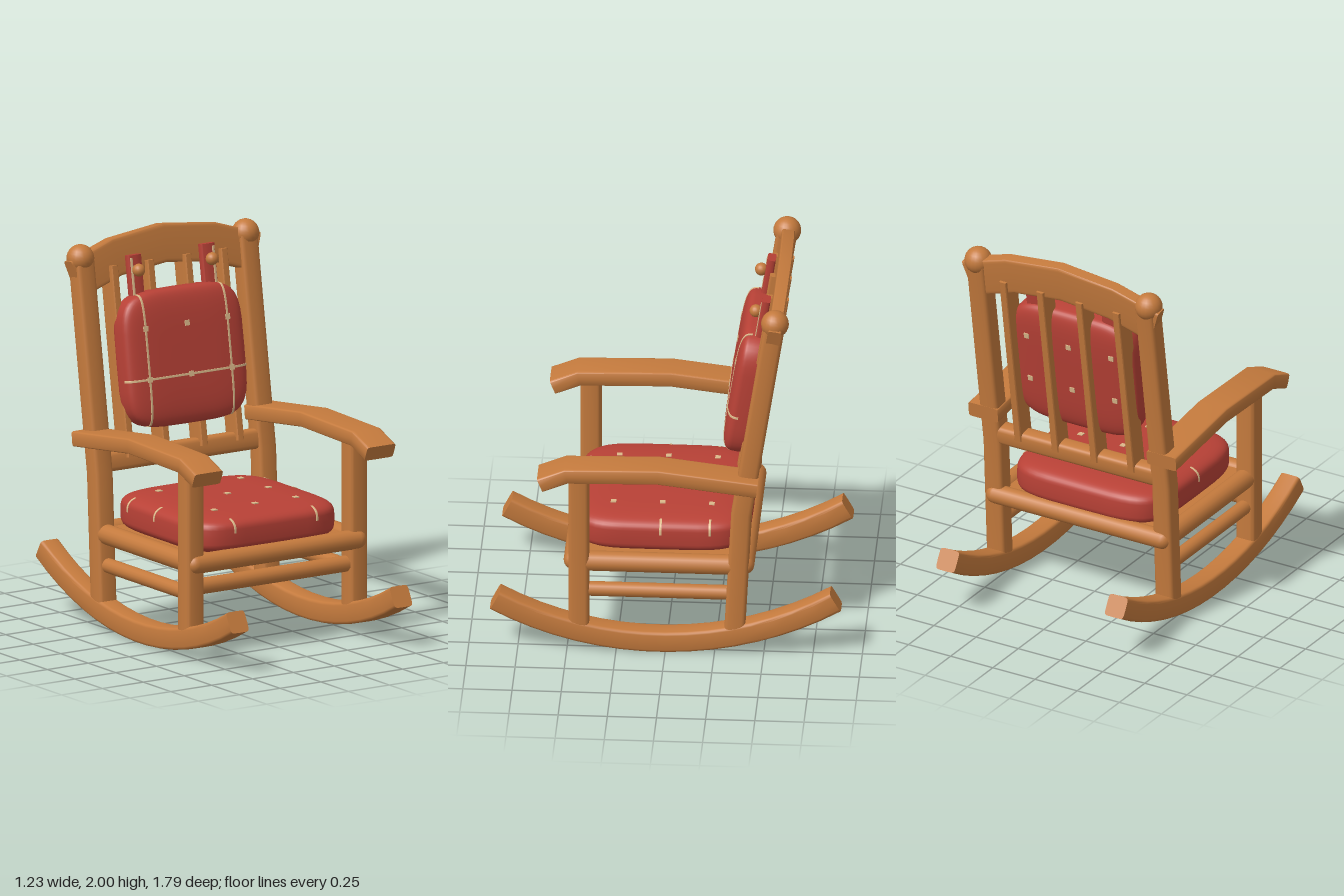
import * as THREE from 'three';
import { mergeVertices, toCreasedNormals } from 'three/addons/utils/BufferGeometryUtils.js';

const V = (x, y, z) => new THREE.Vector3(x, y, z);
const spow = (v, e) => Math.sign(v) * Math.abs(v) ** e;

export function createModel() {
  const mat = (name, color) => Object.assign(new THREE.MeshStandardMaterial({ color }), { name });
  const wood = mat('warm wood', 0xc47a3d);
  const red = mat('red fabric', 0xb84136);
  const cream = mat('cream stitching', 0xdcb98a);
  const chair = new THREE.Group();
  chair.name = 'rockingChair';

  const add = (name, geo, material, pos = V(0, 0, 0), parent = chair) => {
    const m = new THREE.Mesh(geo, material);
    m.name = name;
    m.position.copy(pos);
    parent.add(m);
    return m;
  };

  // Bar with a rounded rectangular section swept along a path; w is the half width along "side"
  function bar(path, w, h, side = V(1, 0, 0), e = 0.4) {
    const N = 20, pos = [], idx = [];
    const dirs = path.slice(1).map((p, i) => p.clone().sub(path[i]).normalize());
    path.forEach((p, i) => {
      const a = dirs[Math.max(i - 1, 0)], b = dirs[Math.min(i, dirs.length - 1)];
      const t = a.clone().add(b).normalize();
      const miter = 1 / t.dot(a);
      const n = t.clone().cross(side).normalize();
      const s = n.clone().cross(t);
      for (let j = 0; j < N; j++) {
        const q = (j / N) * Math.PI * 2;
        const v = p.clone().addScaledVector(s, w * spow(Math.cos(q), e))
          .addScaledVector(n, h * miter * spow(Math.sin(q), e));
        pos.push(v.x, v.y, v.z);
      }
    });
    const last = path.length - 1;
    for (let i = 0; i < last; i++) for (let j = 0; j < N; j++) {
      const a = i * N + j, b = i * N + (j + 1) % N;
      idx.push(a, b, a + N, b, b + N, a + N);
    }
    for (let j = 1; j < N - 1; j++) {
      idx.push(0, j + 1, j);
      idx.push(last * N, last * N + j, last * N + j + 1);
    }
    const g = new THREE.BufferGeometry();
    g.setAttribute('position', new THREE.Float32BufferAttribute(pos, 3));
    g.setIndex(idx);
    return toCreasedNormals(g, 0.6);
  }

  // Round rod between two points
  function rod(name, a, b, r, capsule = false) {
    const d = b.clone().sub(a), len = d.length();
    const g = capsule ? new THREE.CapsuleGeometry(r, len - 2 * r, 6, 16) : new THREE.CylinderGeometry(r, r, len, 16);
    add(name, g, wood, a.clone().lerp(b, 0.5)).quaternion.setFromUnitVectors(V(0, 1, 0), d.normalize());
  }

  // Rounded pillow lying in its local xy plane, its face towards local +z
  const E1 = 0.45, E2 = 0.42;
  function pillow(a, b, c) {
    const g = new THREE.SphereGeometry(1, 48, 32);
    const p = g.attributes.position;
    const clean = (n) => (Math.abs(n) < 1e-9 ? 0 : n);
    for (let i = 0; i <= 32; i++) for (let j = 0; j <= 48; j++) {
      const v = Math.PI / 2 - (i / 32) * Math.PI, u = (j % 48) / 48 * Math.PI * 2;
      const r = spow(clean(Math.cos(v)), E1);
      p.setXYZ(i * 49 + j, a * r * spow(clean(Math.cos(u)), E2), b * r * spow(clean(Math.sin(u)), E2), c * spow(clean(Math.sin(v)), E1));
    }
    g.deleteAttribute('uv');
    g.deleteAttribute('normal');
    const m = mergeVertices(g, 1e-5);
    m.computeVertexNormals();
    return m;
  }
  const surface = (x, y, a, b, c) => {
    const k = Math.abs(x / a) ** (2 / E2) + Math.abs(y / b) ** (2 / E2);
    return c * Math.max(0, 1 - k ** (E2 / E1)) ** (E1 / 2);
  };

  // Flat stitch ribbon over the pillow face at a fixed x (or y when flipped), from angle t0 to t1
  function stitch(parent, at, flip, size, t0, t1) {
    const [a, b, c] = size;
    const A = flip ? b : a, B = flip ? a : b;
    const reach = B * (1 - Math.abs(at / A) ** (2 / E2)) ** (E2 / 2);
    const pts = [];
    for (let i = 0; i <= 32; i++) {
      const s = reach * spow(Math.cos(t0 + (t1 - t0) * i / 32), E1);
      const x = flip ? s : at, y = flip ? at : s;
      pts.push(V(x, y, surface(x, y, a, b, c)));
    }
    add('stitchLine', bar(pts, 0.006, 0.0025, flip ? V(0, 1, 0) : V(1, 0, 0), 0.2), cream, undefined, parent);
  }
  // Stitched squares on the front (face 1) or back (face -1) of a pillow
  function dots(parent, ys, size, face) {
    for (const x of [-0.25, 0, 0.25]) for (const y of ys)
      add('stitchDot', new THREE.BoxGeometry(0.028, 0.028, 0.009), cream, V(x, y, face * surface(x, y, ...size)), parent);
  }

  // Sides: rocker, legs, arm, finial and side rails
  for (const s of [-1, 1]) {
    const x = s * 0.5;
    const arc = [];
    for (let i = 0; i <= 16; i++) {
      const q = -0.54 + i * 1.058 / 16;
      arc.push(V(x, 1.772 - 1.715 * Math.cos(q), 0.016 + 1.715 * Math.sin(q)));
    }
    arc.forEach((p) => { p.y -= 0.014 * p.z; });
    add('rocker', bar(arc, 0.056, 0.057, undefined, 0.3), wood);
    add('frontLeg', bar([V(x, 0.13, 0.44), V(x, 1.0, 0.44)], 0.054, 0.053), wood);
    add('backPost', bar([V(x, 0.13, -0.352), V(x, 0.8, -0.387), V(x, 1.88, -0.555)], 0.054, 0.053), wood);
    add('finial', new THREE.SphereGeometry(0.071, 20, 14), wood, V(s * 0.505, 1.888, -0.556));
    const ax = s * 0.528;
    add('armrest', bar([V(ax, 0.972, 0.633), V(ax, 1.026, 0.5), V(ax, 1.036, 0.035), V(ax, 0.975, -0.47)],
      0.087, 0.04, undefined, 0.2), wood);
    rod('sideSeatRail', V(x, 0.492, 0.44), V(x, 0.492, -0.37), 0.052);
    rod('sideStretcher', V(x, 0.332, 0.44), V(x, 0.332, -0.36), 0.038);
  }

  // Cross rails and seat board
  rod('frontSeatRail', V(-0.545, 0.492, 0.468), V(0.545, 0.492, 0.468), 0.051, true);
  rod('backSeatRail', V(-0.545, 0.492, -0.4), V(0.545, 0.492, -0.4), 0.051, true);
  rod('frontStretcher', V(-0.48, 0.365, 0.44), V(0.48, 0.365, 0.44), 0.042);
  add('seatBoard', new THREE.BoxGeometry(0.96, 0.05, 0.86), wood, V(0, 0.495, 0.035));
  const lean = V(0, 1.08, -0.168).normalize();
  add('lowerBackRail', bar([V(-0.48, 0.85, -0.4), V(0.48, 0.85, -0.4)], 0.052, 0.045, lean, 0.5), wood);

  // Arched crest rail in straight facets, bowed slightly backwards
  const crest = [-1, -0.54, 0, 0.54, 1].map((k) => V(k * 0.55, 1.9 - 0.115 * k * k, -0.566 + 0.02 * k * k));
  add('crestRail', bar(crest, 0.1, 0.035, lean, 0.2), wood);

  // Deep, narrow back slats, standing proud of both rails
  for (const x of [-0.335, -0.115, 0.115, 0.335])
    add('backSlat', bar([V(x, 0.86, -0.396), V(x, 1.83, -0.548)], 0.021, 0.056, undefined, 0.25), wood);

  // Seat cushion
  const seatSize = [0.45, 0.45, 0.105];
  const seat = new THREE.Group();
  seat.name = 'seatCushion';
  seat.position.set(0, 0.603, 0.03);
  seat.rotation.x = -Math.PI / 2;
  chair.add(seat);
  add('seatPad', pillow(...seatSize), red, undefined, seat);
  dots(seat, [-0.25, 0, 0.25], seatSize, 1);
  for (const at of [-0.25, 0.25]) {
    stitch(seat, at, false, seatSize, Math.PI - 0.7, Math.PI - 0.02);
  }
  for (const at of [0, 0.25]) {
    stitch(seat, at, true, seatSize, 0.02, 0.7);
    stitch(seat, at, true, seatSize, Math.PI - 0.7, Math.PI - 0.02);
  }

  // Back cushion leaning with the posts
  const backSize = [0.365, 0.35, 0.087];
  const back = new THREE.Group();
  back.name = 'backCushion';
  back.position.set(0, 1.35, -0.397);
  back.rotation.x = -0.155;
  chair.add(back);
  add('backPad', pillow(...backSize), red, undefined, back);
  dots(back, [-0.095, 0.165], backSize, 1);
  dots(back, [-0.095, 0.165], backSize, -1);
  for (const at of [-0.25, 0.25]) stitch(back, at, false, backSize, 0.05, Math.PI - 0.05);
  stitch(back, -0.095, true, backSize, 0.05, Math.PI - 0.05);

  // Straps with round buttons
  for (const s of [-1, 1]) {
    const x = s * 0.224;
    add('strap', bar([V(x, 1.6, -0.452), V(x, 1.88, -0.496)], 0.041, 0.022, undefined, 0.4), red);
    add('strapStitch', bar([V(s * 0.25, 1.66, -0.439), V(s * 0.25, 1.87, -0.472)], 0.007, 0.003), cream);
    add('button', new THREE.SphereGeometry(0.033, 16, 12), wood, V(x, 1.81, -0.442));
  }
  return chair;
}
